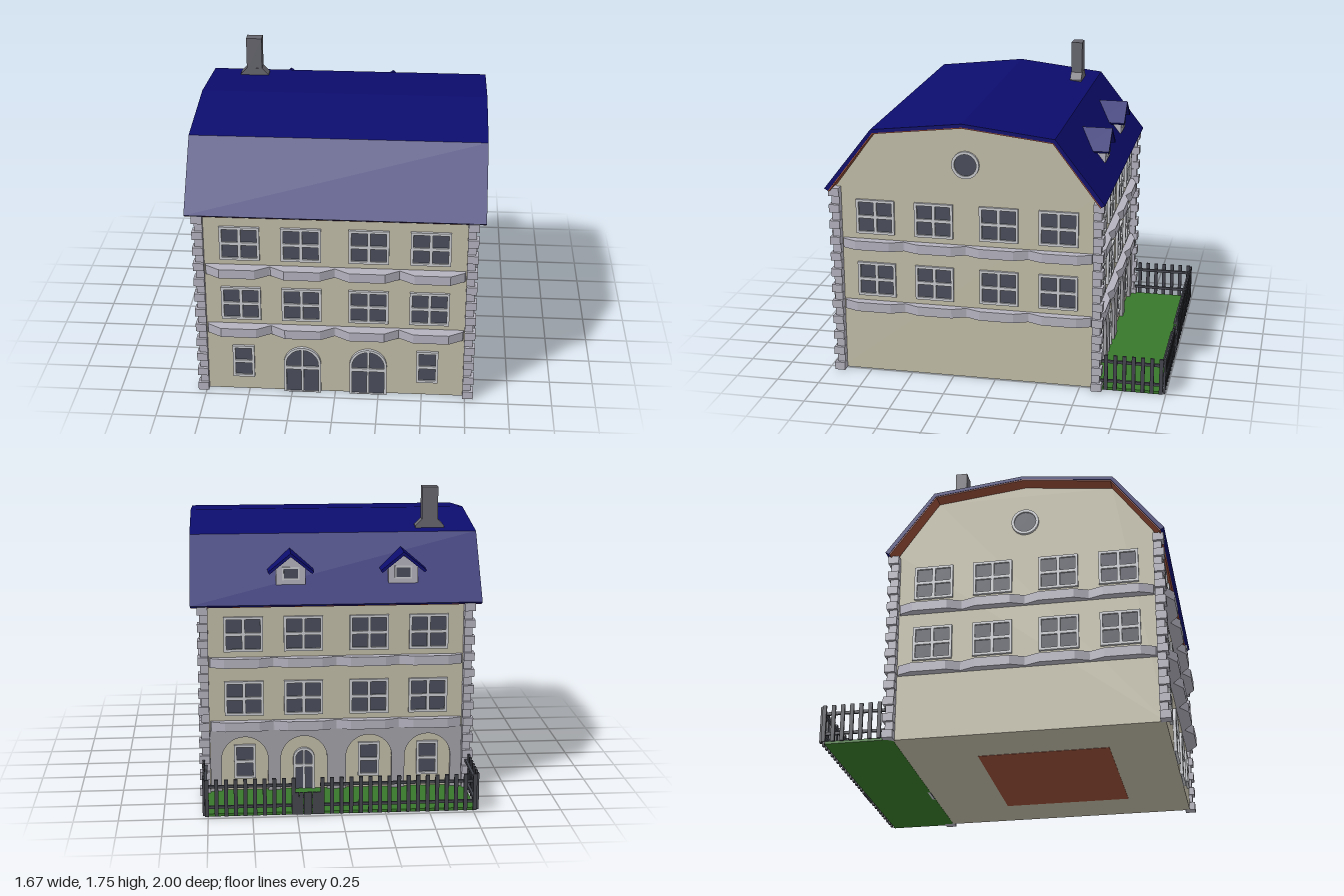
import * as THREE from 'three';

const mat = (color, side = THREE.FrontSide) => new THREE.MeshStandardMaterial({ color, side, flatShading: true });
const M = {
  wall: mat(0xc2bda8), stone: mat(0xb4b2be), frame: mat(0xc8cace), glass: mat(0x4a4d5a),
  roof: mat(0x0c0c6e, THREE.DoubleSide), wood: mat(0x9a4f38), grass: mat(0x38782a), fence: mat(0x44464e),
  chimney: mat(0x66666e), facade: mat(0xa3a2a8),
};
const MID = 0.165; // z of the ridge and of the side walls' centre

function add(parent, name, geo, material, x = 0, y = 0, z = 0) {
  const mesh = new THREE.Mesh(geo, material);
  mesh.name = name;
  mesh.position.set(x, y, z);
  parent.add(mesh);
  return mesh;
}
const box = (p, name, m, w, h, d, x, y, z) => add(p, name, new THREE.BoxGeometry(w, h, d), m, x, y, z);
const poly = (pts) => new THREE.Shape(pts.map(([x, y]) => new THREE.Vector2(x, y)));
const extrude = (shape, depth) => new THREE.ExtrudeGeometry(shape, { depth, bevelEnabled: false, curveSegments: 12 });
const rect = (x, y, w, h) => poly([[x, y], [x + w, y], [x + w, y + h], [x, y + h]]);

// Extrude a (z, y) profile along x, centred
function along(pts, width) {
  return extrude(poly(pts), width).rotateY(-Math.PI / 2).translate(width / 2, 0, 0);
}

// Round-topped outline standing on y0
function arch(w, h, x = 0, y0 = 0) {
  const s = new THREE.Shape(), r = w / 2;
  s.moveTo(x - r, y0);
  s.lineTo(x + r, y0);
  s.lineTo(x + r, h - r);
  s.absarc(x, h - r, r, 0, Math.PI, false);
  s.lineTo(x - r, y0);
  return s;
}

// Window centred on x, y with a grid of panes
function windowUnit(parent, x, y, w, h, cols, rows) {
  const g = new THREE.Group();
  g.name = 'window';
  g.position.set(x, y, 0);
  const b = 0.015, bar = 0.018;
  const s = rect(-w / 2, -h / 2, w, h);
  const pw = (w - 2 * b - (cols - 1) * bar) / cols, ph = (h - 2 * b - (rows - 1) * bar) / rows;
  for (let i = 0; i < cols; i++) for (let j = 0; j < rows; j++)
    s.holes.push(rect(-w / 2 + b + i * (pw + bar), -h / 2 + b + j * (ph + bar), pw, ph));
  add(g, 'windowFrame', extrude(s, 0.016), M.frame);
  box(g, 'windowGlass', M.glass, w - 0.01, h - 0.01, 0.012, 0, 0, 0);
  parent.add(g);
}

// Arched door with glazed leaves
function archDoor(parent, x, w, h) {
  const g = new THREE.Group();
  g.name = 'archedDoor';
  g.position.x = x;
  const s = arch(w, h);
  s.holes.push(arch(w - 0.03, h - 0.015, 0, 0.003));
  add(g, 'doorFrame', extrude(s, 0.018), M.frame);
  add(g, 'doorGlass', extrude(arch(w - 0.01, h - 0.005), 0.006), M.glass);
  box(g, 'doorMullion', M.frame, 0.014, h - 0.01, 0.014, 0, h / 2, 0.007);
  box(g, 'doorTransom', M.frame, w - 0.02, 0.02, 0.014, 0, 0.16, 0.008);
  parent.add(g);
}

const BAYS = [-0.535, -0.19, 0.19, 0.535];

// One wall's upper windows and bulging ledges
function facade(parent, name, x, z, angle, bulge) {
  const g = new THREE.Group();
  g.name = name;
  g.position.set(x, 0, z);
  g.rotation.y = angle;
  for (const y of [0.575, 0.957]) for (const bx of BAYS) windowUnit(g, bx, y, 0.226, 0.205, 2, 2);
  const base = 0.02, pts = [[0.735, -0.01], [-0.735, -0.01]];
  for (let i = 0; i < 4; i++) {
    const c = -0.5475 + i * 0.365;
    pts.push([c - 0.18, base], [c - 0.1, bulge], [c + 0.1, bulge], [c + 0.18, base]);
  }
  for (const y of [0.385, 0.765]) {
    // plan drawn in x, -z so that it stands upright after the turn
    const geo = extrude(poly(pts.map(([a, d]) => [a, -d])), 0.055).rotateX(-Math.PI / 2);
    add(g, 'ledge', geo, M.stone, 0, y, 0);
  }
  parent.add(g);
  return g;
}

function dormer(parent, x) {
  const g = new THREE.Group();
  g.name = 'dormer';
  g.position.set(x, 0, 0);
  const body = extrude(poly([[-0.085, 1.24], [0.085, 1.24], [0.085, 1.335], [0, 1.4], [-0.085, 1.335]]), 0.14);
  add(g, 'dormerBody', body, M.stone, 0, 0, -0.57);
  const s = poly([[0, 1.425], [-0.132, 1.318], [-0.122, 1.305], [0, 1.404], [0.122, 1.305], [0.132, 1.318]]);
  add(g, 'dormerRoof', extrude(s, 0.18), M.roof, 0, 0, -0.595);
  box(g, 'dormerFrame', M.frame, 0.1, 0.075, 0.01, 0, 1.305, -0.572);
  box(g, 'dormerGlass', M.glass, 0.08, 0.055, 0.01, 0, 1.305, -0.575);
  parent.add(g);
}

function picket(parent, x, z, h, turned) {
  box(parent, 'picket', M.fence, turned ? 0.012 : 0.022, h, turned ? 0.022 : 0.012, x, 0.01 + h / 2, z);
}

export function createModel() {
  const model = new THREE.Group();
  model.name = 'townHouse';

  // Walls with gables
  add(model, 'walls', along([[0.93, 0.002], [0.93, 1.135], [0.677, 1.476], [MID, 1.535], [-0.347, 1.476],
    [-0.58, 1.155], [-0.58, 0.002]], 1.49), M.wall);
  box(model, 'floorPatch', M.wood, 0.88, 0.004, 0.75, 0.02, 0.002, 0.205);

  // Mansard roof shell over a wooden soffit
  const shell = (a, b) => {
    const mirror = (p) => p.slice(0, 2).reverse().map(([d, y]) => [-d, y]);
    return [...a, ...mirror(a), ...[...b, ...mirror(b)].reverse()].map(([d, y]) => [MID + d, y]);
  };
  const outer = [[0.808, 1.138], [0.525, 1.5], [0, 1.56]];
  const middle = [[0.787, 1.125], [0.515, 1.48], [0, 1.54]];
  const inner = [[0.781, 1.12], [0.512, 1.474], [0, 1.533]];
  add(model, 'roof', along(shell(outer, middle), 1.67), M.roof);
  add(model, 'soffit', along(shell(middle, inner), 1.664), M.wood);

  // Corner quoins
  for (const sx of [-1, 1]) for (const sz of [-1, 1]) for (let i = 0; i < 23; i++) {
    const s = i % 2 ? 0.047 : 0.061, h = 1.13 / 23;
    box(model, 'quoin', M.stone, s, h - 0.002, s, sx * (0.737 + s / 2), (i + 0.5) * h, MID + sz * (0.737 + s / 2));
  }

  // Four facades
  const front = facade(model, 'frontFacade', 0, 0.93, 0, 0.07);
  const back = facade(model, 'backFacade', 0, -0.58, Math.PI, 0.047);
  const sides = [1, -1].map((s) => facade(model, s > 0 ? 'leftFacade' : 'rightFacade', s * 0.745, MID, s * Math.PI / 2, 0.053));

  // Front ground floor
  for (const s of [-1, 1]) {
    archDoor(front, s * 0.19, 0.215, 0.295);
    windowUnit(front, s * 0.53, 0.192, 0.125, 0.205, 1, 2);
  }

  // Back ground floor: arcade relief, door and windows
  const arcade = rect(-0.735, 0.002, 1.47, 0.383);
  for (const bx of BAYS) arcade.holes.push(arch(0.27, 0.345, bx, 0.01));
  add(back, 'arcade', extrude(arcade, 0.022), M.facade);
  for (const bx of BAYS) {
    if (bx === -0.19) archDoor(back, bx, 0.125, 0.27);
    else windowUnit(back, bx, 0.192, 0.125, 0.205, 1, 2);
  }

  // Round gable windows
  for (const side of sides) {
    const ring = new THREE.Shape().absarc(0, 0, 0.08, 0, Math.PI * 2);
    ring.holes.push(new THREE.Path().absarc(0, 0, 0.064, 0, Math.PI * 2));
    add(side, 'roundFrame', extrude(ring, 0.016), M.frame, 0, 1.3, 0);
    add(side, 'roundGlass', new THREE.CircleGeometry(0.07, 24), M.glass, 0, 1.3, 0.006);
  }

  dormer(model, -0.385);
  dormer(model, 0.26);

  // Chimney with flared foot
  add(model, 'chimneyFoot', extrude(poly([[-0.085, 1.49], [0.085, 1.49], [0.085, 1.52], [0.047, 1.56],
    [-0.047, 1.56], [-0.085, 1.52]]), 0.07), M.chimney, -0.573, 0, -0.285);
  box(model, 'chimney', M.chimney, 0.094, 0.21, 0.068, -0.573, 1.645, -0.25);

  // Back garden
  box(model, 'lawn', M.grass, 1.52, 0.016, 0.39, 0, 0.009, -0.775);

  // Picket fence, with a low gate opposite the back door
  const fence = new THREE.Group();
  fence.name = 'fence';
  const inGate = (x) => x > 0.12 && x < 0.26;
  for (let i = 0; i <= 28; i++) {
    const x = -0.756 + i * 0.054;
    if (!inGate(x)) picket(fence, x, -0.992, 0.215, false);
  }
  for (let i = 0; i < 6; i++) picket(fence, 0.13 + i * 0.024, -0.992, 0.13, false);
  for (const s of [-1, 1]) for (let i = 0; i < 7; i++) picket(fence, s * 0.774, -0.655 - i * 0.053, 0.215, true);
  for (const y of [0.06, 0.18]) {
    box(fence, 'railBack', M.fence, 0.885, 0.016, 0.014, -0.3225, y, -0.979);
    box(fence, 'railBack', M.fence, 0.505, 0.016, 0.014, 0.5125, y, -0.979);
    for (const s of [-1, 1]) box(fence, 'railSide', M.fence, 0.014, 0.016, 0.36, s * 0.761, y, -0.805);
  }
  for (const y of [0.05, 0.11]) box(fence, 'gateRail', M.fence, 0.14, 0.016, 0.014, 0.19, y, -0.979);
  model.add(fence);

  return model;
}
